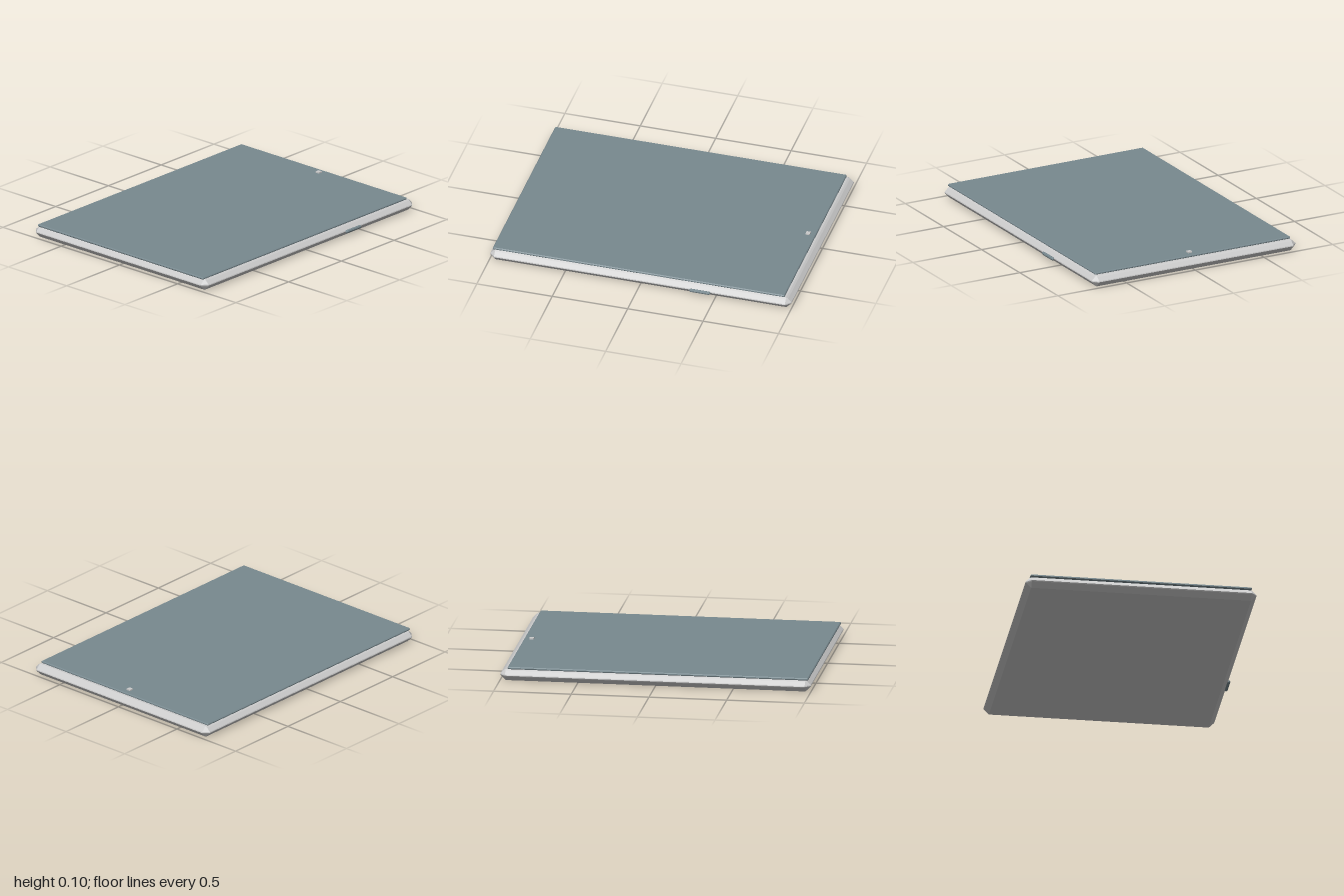
import * as THREE from 'three';

const grey = new THREE.MeshStandardMaterial({ color: 0xcccccc, flatShading: true });
const slate = new THREE.MeshStandardMaterial({ color: 0x78898f, flatShading: true });

// Slab with bevelled rim: levels are [y, inset]; corners are cut at the widest level
function bevelledSlab(x0, x1, z0, z1, cut, levels) {
  const cx = (x0 + x1) / 2, cz = (z0 + z1) / 2, hx = (x1 - x0) / 2, hz = (z1 - z0) / 2;
  const pos = [], idx = [], n = 8;
  for (const [y, i] of levels) {
    const a = hx - i, b = hz - i, p = hx - cut, q = hz - cut;
    const ring = [[a, q], [a, -q], [p, -b], [-p, -b], [-a, -q], [-a, q], [-p, b], [p, b]];
    for (const [x, z] of ring) pos.push(cx + x, y, cz + z);
  }
  const top = (levels.length - 1) * n;
  for (let l = 0; l < levels.length - 1; l++) {
    for (let k = 0; k < n; k++) {
      const a = l * n + k, b = l * n + (k + 1) % n;
      idx.push(a, b, b + n, a, b + n, a + n);
    }
  }
  for (let k = 1; k < n - 1; k++) {
    idx.push(0, k + 1, k);
    idx.push(top, top + k, top + k + 1);
  }
  const g = new THREE.BufferGeometry();
  g.setAttribute('position', new THREE.Float32BufferAttribute(pos, 3));
  g.setIndex(idx);
  const flat = g.toNonIndexed();
  flat.computeVertexNormals();
  return flat;
}

export function createModel() {
  const model = new THREE.Group();
  model.name = 'tablet';
  const add = (name, geometry, material, x = 0, y = 0, z = 0) => {
    const mesh = new THREE.Mesh(geometry, material);
    mesh.name = name;
    mesh.position.set(x, y, z);
    model.add(mesh);
  };

  // Body with sloping rim, widest at mid height
  add('body', bevelledSlab(-0.75, 0.735, -1, 1, 0.036,
    [[0, 0.036], [0.032, 0.004], [0.038, 0], [0.044, 0.002], [0.066, 0.024], [0.074, 0.036]]), grey);

  // Screen plate with a fine bevelled edge
  add('screen', bevelledSlab(-0.72, 0.702, -0.952, 0.982, 0.005,
    [[0.072, 0.005], [0.077, 0], [0.083, 0], [0.088, 0.005]]), slate);

  // Camera near the back edge
  add('camera', new THREE.BoxGeometry(0.028, 0.012, 0.028), grey, -0.01, 0.091, -0.902);

  // Rounded side button, overlapping the rim
  const r = 0.011;
  const button = new THREE.CapsuleGeometry(r, 0.14 - 2 * r, 4, 8);
  button.rotateX(Math.PI / 2);
  add('sideButton', button, slate, 0.739, 0.037, -0.402);

  return model;
}
